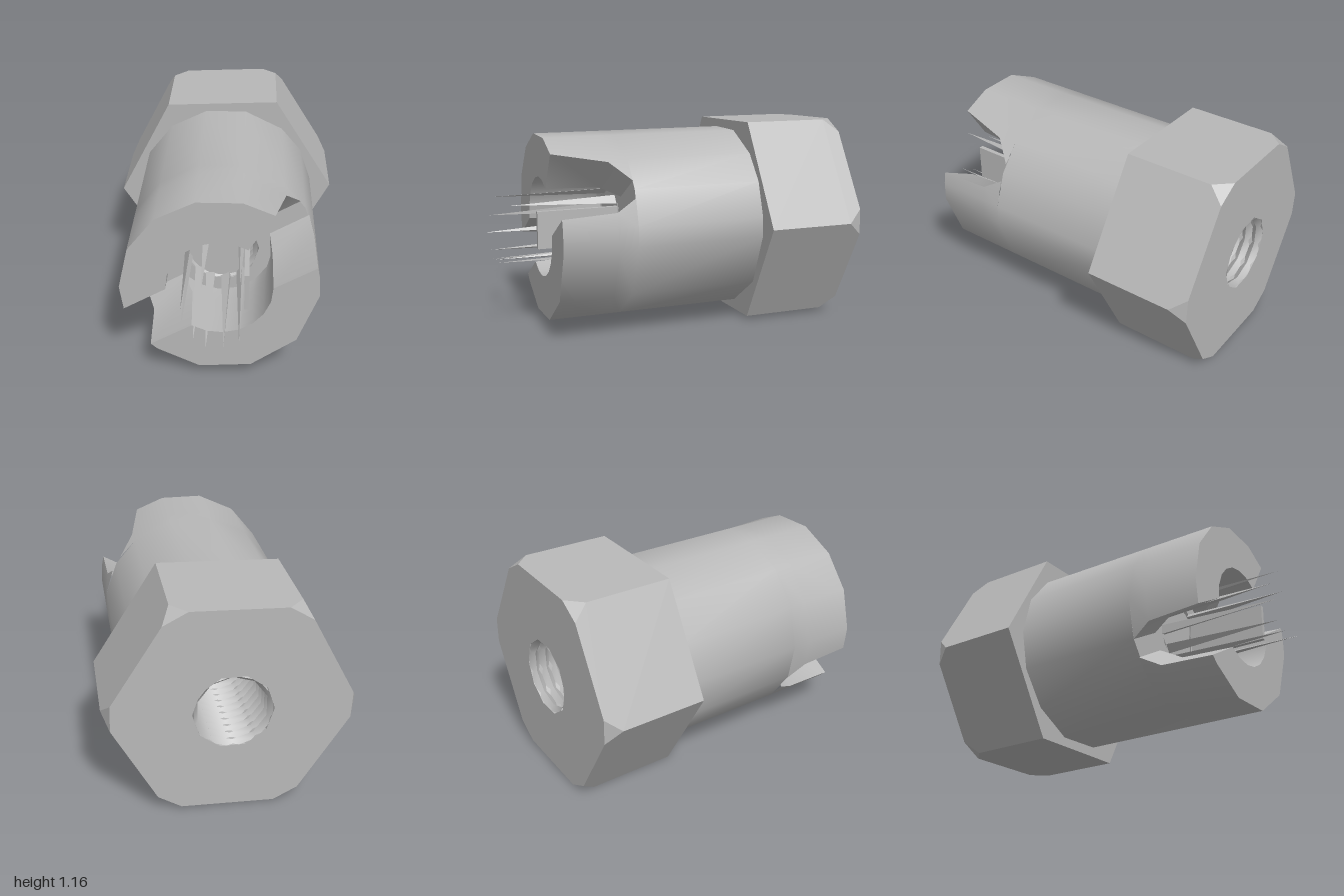
import * as THREE from 'three';
import { toCreasedNormals } from 'three/addons/utils/BufferGeometryUtils.js';

const CENTRE_Y = 0.583, HEAD_R = 0.655, BODY_R = 0.53, BORE_R = 0.285, HOLE_R = 0.21;
const BACK = -1, SHOULDER = -0.43, FLOOR = 0.3, MOUTH = 0.71;
const rad = THREE.MathUtils.degToRad;
const deg = THREE.MathUtils.radToDeg;
const polar = (r, a) => new THREE.Vector2(r * Math.cos(rad(a)), r * Math.sin(rad(a)));
const ring = (n, r, start = 0) => Array.from({ length: n }, (_, i) => polar(r, start + (i * 360) / n));

function pierced(points) {
  const shape = new THREE.Shape(points);
  shape.holes.push(new THREE.Path(ring(10, HOLE_R).reverse()));
  return shape;
}

// Hexagon whose six back corners are cut to small triangles
function headGeometry() {
  const corners = ring(6, HEAD_R, 2.2);
  const cut = corners.flatMap((c, i) => [
    c.clone().lerp(corners[(i + 5) % 6], 0.127),
    c.clone().lerp(corners[(i + 1) % 6], 0.127),
  ]);
  const depth = SHOULDER - BACK;
  const geo = new THREE.ExtrudeGeometry(pierced(cut), { depth, steps: 2, bevelEnabled: false });
  const pos = geo.attributes.position;
  for (let i = 0; i < pos.count; i++) {
    const p = new THREE.Vector2(pos.getX(i), pos.getY(i));
    const z = pos.getZ(i);
    if (z < 0.01) continue;
    if (z < depth - 0.01) pos.setZ(i, 0.085);
    if (p.length() > 0.5) {
      const c = corners.reduce((a, b) => (a.distanceTo(p) < b.distanceTo(p) ? a : b));
      pos.setXY(i, c.x, c.y);
    }
  }
  geo.translate(0, 0, BACK);
  geo.computeVertexNormals();
  return geo;
}

// One jaw between the two slots, lofted from the slot floor to the mouth
function jawGeometry(from, to, fixed, flare) {
  const levels = [[FLOOR, 0.05], [0.41, 0.12], [MOUTH, 0.135]];
  const n = fixed.length + 2;
  const verts = [], index = [];
  levels.forEach(([z, w], k) => {
    const out = deg(Math.asin(w / BODY_R)), inn = deg(Math.asin(w / BORE_R));
    const a0 = from + out + flare[k], a1 = to - out;
    const outer = [a0, ...fixed.map((a) => Math.min(Math.max(a, a0), a1)), a1];
    const inner = outer.map((_, i) => THREE.MathUtils.lerp(from + inn, to - inn, i / (n - 1)));
    const loop = [...outer.map((a) => polar(BODY_R, a)), ...inner.reverse().map((a) => polar(BORE_R, a))];
    loop.forEach((p) => verts.push(p.x, p.y, z));
  });
  const m = 2 * n;
  for (let k = 0; k < 2; k++) {
    for (let i = 0; i < m; i++) {
      const a = k * m + i, b = k * m + ((i + 1) % m);
      index.push(a, b, b + m, a, b + m, a + m);
    }
  }
  for (let i = 0; i < n - 1; i++) {
    const o = 2 * m + i, q = 2 * m + m - 1 - i;
    index.push(o, o + 1, q - 1, o, q - 1, q);
  }
  const geo = new THREE.BufferGeometry();
  geo.setAttribute('position', new THREE.Float32BufferAttribute(verts, 3));
  geo.setIndex(index);
  return toCreasedNormals(geo, 0.65);
}

export function createModel() {
  const model = new THREE.Group();
  const metal = new THREE.MeshStandardMaterial({ color: 0xb8b8b8 });
  metal.name = 'plain grey metal';
  const innerMetal = metal.clone();
  innerMetal.name = 'inner grey metal';
  innerMetal.side = THREE.DoubleSide;
  const parts = new THREE.Group();
  parts.name = 'slottedHexFitting';
  parts.position.y = CENTRE_Y;
  model.add(parts);
  const add = (name, geo, mat = metal) => {
    const mesh = new THREE.Mesh(geo, mat);
    mesh.name = name;
    parts.add(mesh);
    return mesh;
  };

  add('hexHead', headGeometry());

  // Round body up to the floor of the slots
  const sides = [8, 30, 50, 77, 103, 128.6, 154, 180, 204, 230, 258, 289, 322, 356];
  const body = new THREE.ExtrudeGeometry(pierced(sides.map((a) => polar(BODY_R, a))), {
    depth: FLOOR - SHOULDER, bevelEnabled: false,
  });
  body.translate(0, 0, SHOULDER);
  add('body', toCreasedNormals(body, 0.65));

  // Two jaws around the wide front bore
  add('upperJaw', jawGeometry(30, 210, [50, 77, 103, 128.6, 154, 180], [0, 6, 13]));
  add('lowerJaw', jawGeometry(210, 390, [230, 258, 289, 322, 356, 368], [0, 0, 0]));

  // Ridged wall of the threaded hole
  const profile = [];
  const turns = 22;
  for (let i = 0; i <= turns * 2; i++) {
    const z = FLOOR - ((FLOOR - BACK) * i) / (turns * 2);
    profile.push(new THREE.Vector2(i % 2 ? 0.185 : HOLE_R, z));
  }
  const thread = new THREE.LatheGeometry(profile, 10);
  thread.rotateX(Math.PI / 2);
  add('thread', toCreasedNormals(thread, 0.65), innerMetal);

  // Plug with one flat side, leaving a gap at the edge of the hole
  const plugShape = new THREE.Shape();
  plugShape.absarc(0, 0, 0.19, rad(47), rad(313), false);
  const plug = new THREE.ShapeGeometry(plugShape, 8);
  plug.translate(0, 0, FLOOR - 0.01);
  add('plug', plug, innerMetal);

  // Thin tongue standing in the bore
  const tongue = new THREE.BoxGeometry(0.025, 0.21, 0.46);
  tongue.translate(0.145, 0.012, 0.53);
  add('tongue', tongue);

  // Slender spikes around the hole: x, y, tip
  const spikes = [
    [-0.185, 0.047, 0.97], [-0.185, -0.053, 1], [-0.125, -0.143, 0.97], [-0.06, -0.18, 0.98],
    [0.03, -0.183, 0.97], [0.11, -0.143, 0.99], [0.11, 0.152, 0.9], [-0.08, 0.172, 0.97],
  ];
  for (const [x, y, tip] of spikes) {
    const spike = new THREE.ConeGeometry(0.035, tip - FLOOR, 3).toNonIndexed();
    spike.rotateX(Math.PI / 2);
    spike.scale(0.5, 1, 1);
    spike.rotateZ(Math.atan2(y, x));
    spike.translate(x, y, (tip + FLOOR) / 2);
    spike.computeVertexNormals();
    add('spike', spike);
  }
  return model;
}
